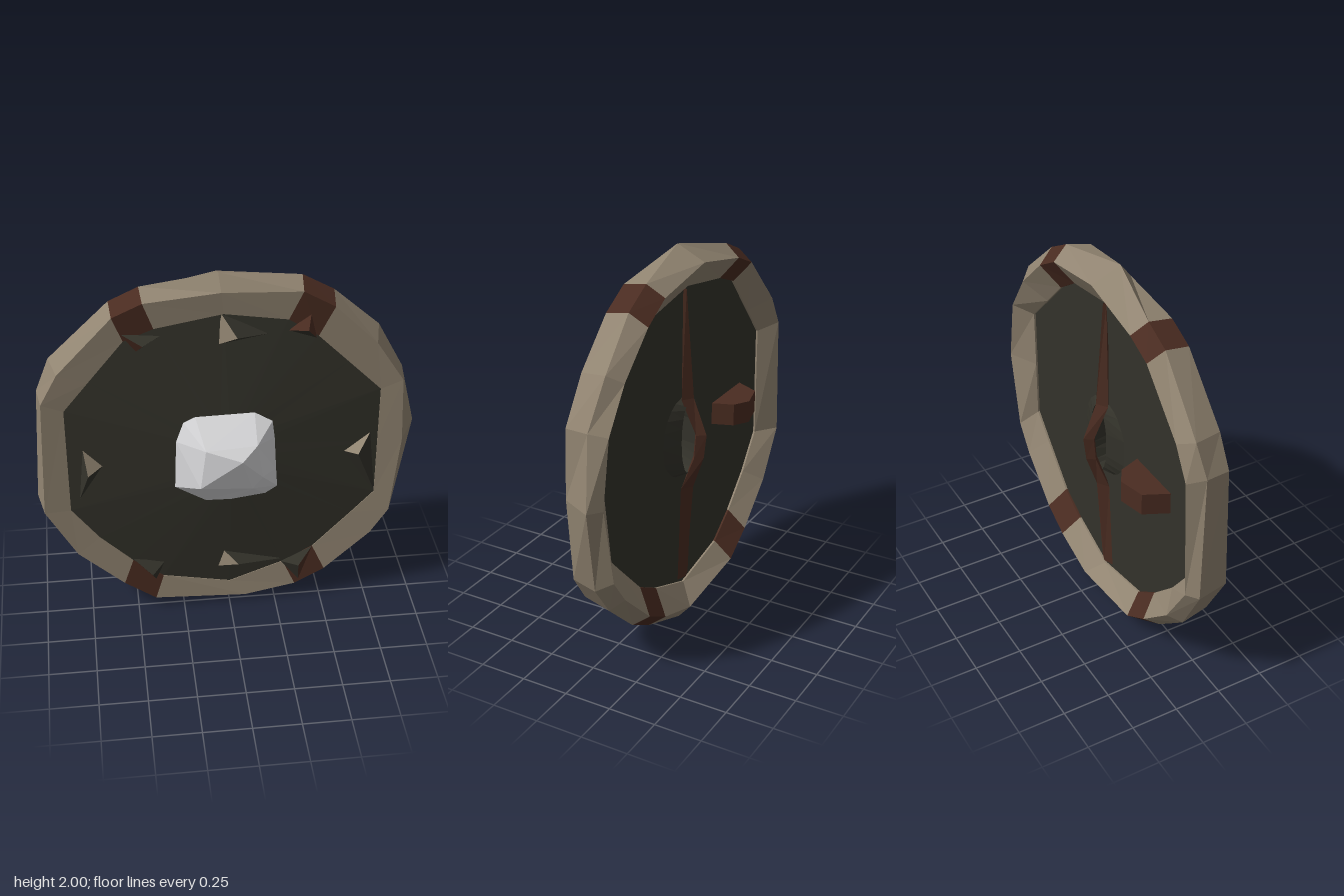
import * as THREE from 'three';

const mat = (name, color) => {
  const m = new THREE.MeshStandardMaterial({ color, side: THREE.DoubleSide, flatShading: true });
  m.name = name;
  return m;
};

// Faceted skin over a list of equal-length point rings
function loft(rings) {
  const pos = [];
  const tri = (a, b, c) => {
    const pts = [a, b, c].map((p) => new THREE.Vector3(...p));
    if (new THREE.Triangle(...pts).getArea() > 1e-7) pos.push(...a, ...b, ...c);
  };
  for (let i = 0; i < rings.length - 1; i++) {
    const r = rings[i], q = rings[i + 1];
    r.forEach((p, j) => {
      const k = (j + 1) % r.length;
      tri(p, r[k], q[k]);
      tri(p, q[k], q[j]);
    });
  }
  const g = new THREE.BufferGeometry();
  g.setAttribute('position', new THREE.Float32BufferAttribute(pos, 3));
  g.computeVertexNormals();
  return g;
}

// Rim stations, clockwise from the top:
// outer x, y, inner x, y, front lip fraction, outer z
const stations = [
  [-0.05, 2.0, -0.03, 1.8, 0.6, -0.03], [0.37, 1.93, 0.29, 1.75, 0.85, -0.1],
  [0.53, 1.84, 0.44, 1.65, 0.85, -0.1], [0.77, 1.62, 0.6, 1.49, 0.8, -0.12],
  [0.9, 1.38, 0.77, 1.32, 0.85, -0.1], [0.99, 1.02, 0.77, 1.0, 0.58, -0.14],
  [0.87, 0.54, 0.77, 0.68, 0.85, -0.1], [0.78, 0.39, 0.65, 0.55, 0.85, -0.12],
  [0.53, 0.16, 0.45, 0.34, 0.85, -0.1], [0.37, 0.07, 0.29, 0.25, 0.85, -0.1],
  [0.12, 0.0, 0.0, 0.14, 0.7, -0.14], [-0.41, 0.05, -0.36, 0.21, 0.9, -0.1],
  [-0.58, 0.16, -0.52, 0.33, 0.85, -0.1], [-0.83, 0.39, -0.69, 0.5, 0.85, -0.12],
  [-1.0, 0.69, -0.83, 0.69, 0.8, -0.14], [-0.96, 1.36, -0.83, 1.3, 0.85, -0.1],
  [-0.89, 1.53, -0.7, 1.46, 0.8, -0.12], [-0.58, 1.84, -0.52, 1.68, 0.85, -0.1],
  [-0.43, 1.91, -0.37, 1.74, 0.85, -0.1],
];
const bandStarts = [1, 8, 11, 17];
const boardBack = -0.09;

// Rim section: outer edge, front lip, inner front, inner back, back ridge
const rimRing = ([ox, oy, ix, iy, lip, oz]) =>
  [[1, oz], [lip, 0.03], [0, 0.02], [0, boardBack - 0.01], [0.65, -0.185]].map(([f, z]) =>
    [ix + (ox - ix) * f, iy + (oy - iy) * f, z]);

export function createModel() {
  const group = new THREE.Group();
  const wood = mat('tan wood', 0x918471);
  const board = mat('dark board', 0x33322a);
  const leather = mat('brown leather', 0x4a2c21);
  const steel = mat('pale steel', 0xd8d8da);
  const add = (name, geometry, material) => {
    const m = new THREE.Mesh(geometry, material);
    m.name = name;
    group.add(m);
  };

  // Rim pieces, with a leather band on each diagonal
  stations.forEach((s, i) => {
    const next = stations[(i + 1) % stations.length];
    const band = bandStarts.includes(i);
    add(band ? 'rimBand' : 'rim', loft([rimRing(s), rimRing(next)]), band ? leather : wood);
  });

  // Thick board: domed front, flat back with a raised open hub behind the boss
  const ellipse = (rx, ry, z) => stations.map(([, , x, y]) => {
    const a = Math.atan2(y - 1, x);
    return [rx * Math.cos(a), 1 + ry * Math.sin(a), z];
  });
  const edge = (z) => stations.map(([, , x, y]) => [x * 1.02, 1 + (y - 1) * 1.02, z]);
  add('board', loft([
    edge(boardBack), ellipse(0.2, 0.22, boardBack), ellipse(0.08, 0.2, -0.13),
    ellipse(0.12, 0.2, 0.075), edge(0.015),
  ]), board);

  // Faceted boss: rim outline, five broad corners, one peak
  const outline = [
    [-0.18, 1.255], [0.12, 1.26], [0.21, 1.21], [0.22, 1.12], [0.23, 0.93], [0.24, 0.81],
    [0.18, 0.76], [0, 0.73], [-0.13, 0.735], [-0.29, 0.85], [-0.28, 1.13], [-0.24, 1.23],
  ].map(([x, y]) => [x, y, 0.105 - 0.5 * (y - 1) ** 2]);
  const corners = [
    [-0.14, 1.13, 0.205], [0.12, 1.14, 0.195], [0.15, 0.94, 0.185],
    [0.1, 0.87, 0.18], [-0.17, 0.92, 0.225],
  ];
  const middle = [0, 1, 1, 1, 2, 3, 3, 3, 4, 4, 0, 0].map((i) => corners[i]);
  const peak = outline.map(() => [0.04, 1.08, 0.248]);
  add('boss', loft([peak, middle, outline]), steel);

  // Chipped spikes: apex, three base corners (clockwise), one material per flank
  const spike = (name, apex, base, mats) => {
    const g = new THREE.BufferGeometry();
    const pos = [];
    base.forEach((p, i) => {
      pos.push(...apex, ...base[(i + 1) % 3], ...p);
      g.addGroup(i * 3, 3, i);
    });
    g.setAttribute('position', new THREE.Float32BufferAttribute(pos, 3));
    g.computeVertexNormals();
    add(name, g, mats);
  };
  const z = 0.02;
  spike('topSpike', [0.03, 1.7, 0.09],
    [[-0.04, 1.8, z], [0.2, 1.68, z], [-0.07, 1.63, z]], [board, board, wood]);
  spike('bottomSpike', [0.04, 0.31, 0.095],
    [[-0.05, 0.38, z], [0.28, 0.27, z], [-0.07, 0.25, z]], [board, board, wood]);
  spike('rightSpike', [-0.73, 0.94, 0.085],
    [[-0.75, 1.07, z], [-0.64, 0.97, z], [-0.78, 0.76, z]], [wood, board, board]);
  spike('leftSpike', [0.66, 0.97, 0.085],
    [[0.58, 0.96, z], [0.73, 1.06, z], [0.77, 0.69, z]], [wood, board, board]);
  spike('bandSpikeTopRight', [-0.43, 1.69, 0.1],
    [[-0.53, 1.72, z], [-0.34, 1.7, z], [-0.46, 1.62, z]], [board, board, leather]);
  spike('bandSpikeTopLeft', [0.38, 1.71, 0.075],
    [[0.29, 1.69, z], [0.4, 1.78, z], [0.43, 1.64, z]], [leather, leather, board]);
  spike('bandSpikeBottomRight', [-0.42, 0.26, 0.075],
    [[-0.52, 0.34, z], [-0.35, 0.31, z], [-0.4, 0.19, z]], [board, board, leather]);
  spike('bandSpikeBottomLeft', [0.37, 0.25, 0.07],
    [[0.28, 0.25, z], [0.45, 0.34, z], [0.38, 0.1, z]], [board, leather, board]);

  // Vertical grip on the back: y, half width, z, depth
  const grip = [
    [1.79, 0.008, boardBack, 0.015], [1.22, 0.055, -0.11, 0.04], [1.03, 0.03, -0.18, 0.045],
    [0.9, 0.03, -0.17, 0.04], [0.72, 0.06, -0.11, 0.04], [0.17, 0.055, boardBack, 0.02],
  ].map(([y, w, gz, d]) => [
    [-0.01 - w, y, gz], [-0.01, y, gz - d], [-0.01 + w, y, gz], [-0.01, y, gz + 0.02]]);
  add('grip', loft(grip), leather);

  // Solid arm block on the back
  const profile = new THREE.Shape([
    [-0.32, boardBack], [-0.36, -0.2], [-0.44, -0.25], [-0.58, -0.215], [-0.64, boardBack],
  ].map(([x, d]) => new THREE.Vector2(x, -d)));
  const block = new THREE.ExtrudeGeometry(profile, { depth: 0.12, bevelEnabled: false });
  block.rotateX(-Math.PI / 2).translate(0, 0.94, 0);
  add('armBlock', block, leather);

  return group;
}
